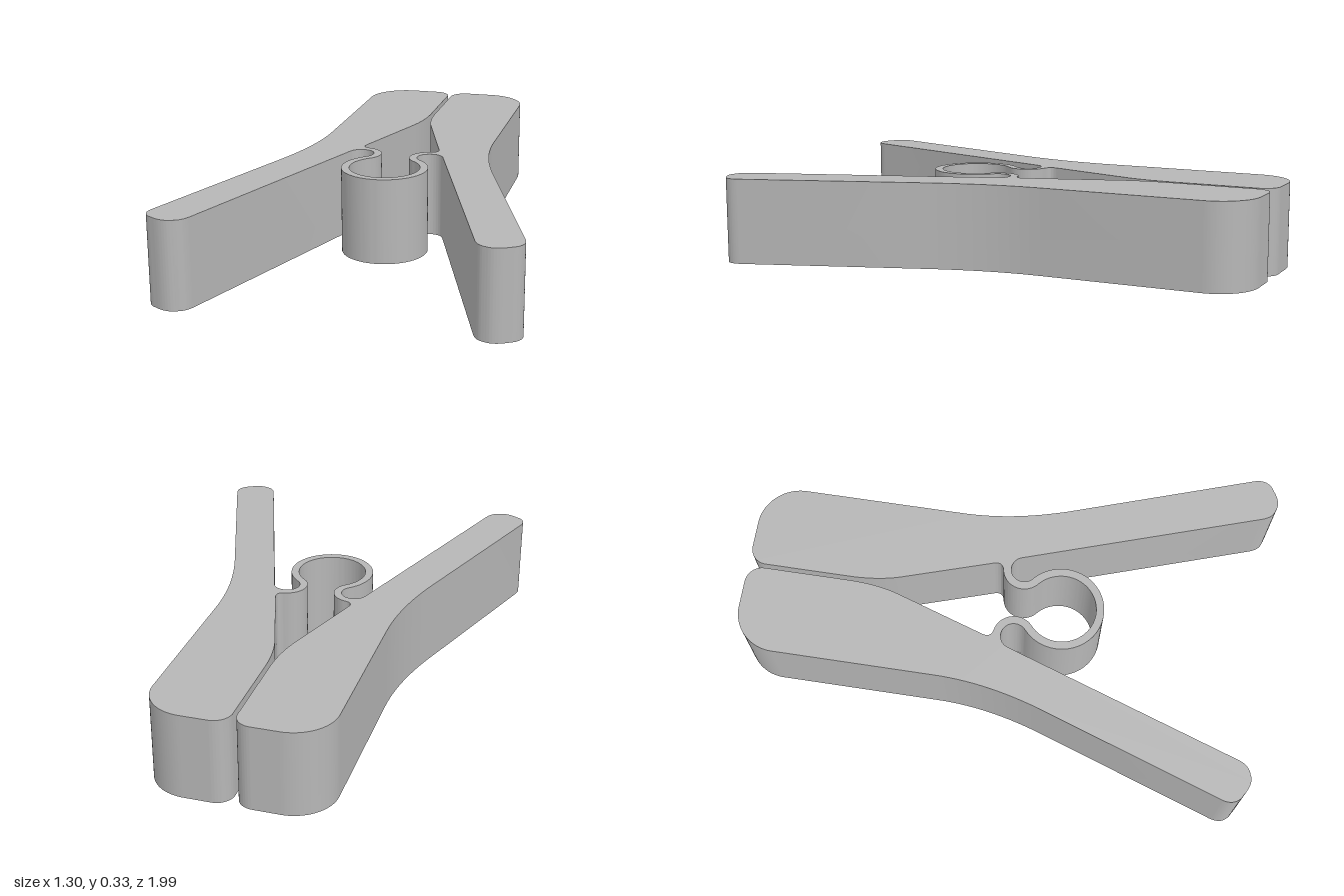
import * as THREE from 'three';
import { toCreasedNormals } from 'three/addons/utils/BufferGeometryUtils.js';

const HEIGHT = 0.327;
const rad = THREE.MathUtils.degToRad;

// Half outline in plan (second coordinate is -z), from the spring's outer bottom
// around the arm and back to the spring's inner bottom.
function halfOutline() {
  const ringZ = -0.217, join = rad(50);
  const hookX = 0.213 * Math.cos(join), hookZ = ringZ + 0.213 * Math.sin(join);
  const p = new THREE.Path();
  // outside of the spring ring, then inside of the small hook
  p.absarc(0, ringZ, 0.163, -Math.PI / 2, join, false);
  p.absarc(hookX, hookZ, 0.05, rad(230), rad(18.5), true);
  // handle: inner edge, rounded tip, outer edge
  p.lineTo(0.487, -0.94);
  p.bezierCurveTo(0.497, -0.968, 0.51, -0.983, 0.535, -0.99);
  p.bezierCurveTo(0.56, -1.002, 0.59, -0.99, 0.613, -0.974);
  p.bezierCurveTo(0.642, -0.96, 0.657, -0.935, 0.645, -0.895);
  p.lineTo(0.405, -0.19);
  p.bezierCurveTo(0.36, -0.05, 0.335, 0.08, 0.335, 0.22);
  // jaw: rounded outer and inner corners
  p.lineTo(0.335, 0.84);
  p.absarc(0.175, 0.84, 0.16, 0, Math.PI / 2, false);
  p.lineTo(0.073, 1);
  p.absarc(0.073, 0.935, 0.065, Math.PI / 2, Math.PI, false);
  // jaw gap opening into the inner edge
  p.lineTo(0.008, 0.61);
  p.bezierCurveTo(0.008, 0.53, 0.018, 0.46, 0.038, 0.4);
  p.lineTo(0.144, 0.072);
  p.bezierCurveTo(0.154, 0.045, 0.148, 0.03, 0.123, 0.025);
  // outside of the hook, then inside of the spring ring
  p.absarc(hookX, hookZ, 0.08, rad(100), rad(230), false);
  p.absarc(0, ringZ, 0.133, join, -Math.PI / 2, true);
  return p.getPoints(24);
}

export function createModel() {
  const group = new THREE.Group();
  group.name = 'springClip';
  const greyPlastic = new THREE.MeshStandardMaterial({ color: 0xb6b6b6 });
  greyPlastic.name = 'greyPlastic';

  // one continuous piece: both arms joined by the spring
  const half = halfOutline();
  const mirrored = half.slice(1, -1).reverse().map((v) => new THREE.Vector2(-v.x, v.y));
  const bottom = [half[half.length - 1], ...mirrored, half[0]];
  const shape = new THREE.Shape([...half.slice(0, -1), ...bottom.slice(0, -1)]);

  const geometry = new THREE.ExtrudeGeometry(shape, { depth: HEIGHT, bevelEnabled: false });
  geometry.rotateX(-Math.PI / 2);
  const body = new THREE.Mesh(toCreasedNormals(geometry, rad(35)), greyPlastic);
  body.name = 'clipBody';
  group.add(body);
  return group;
}
